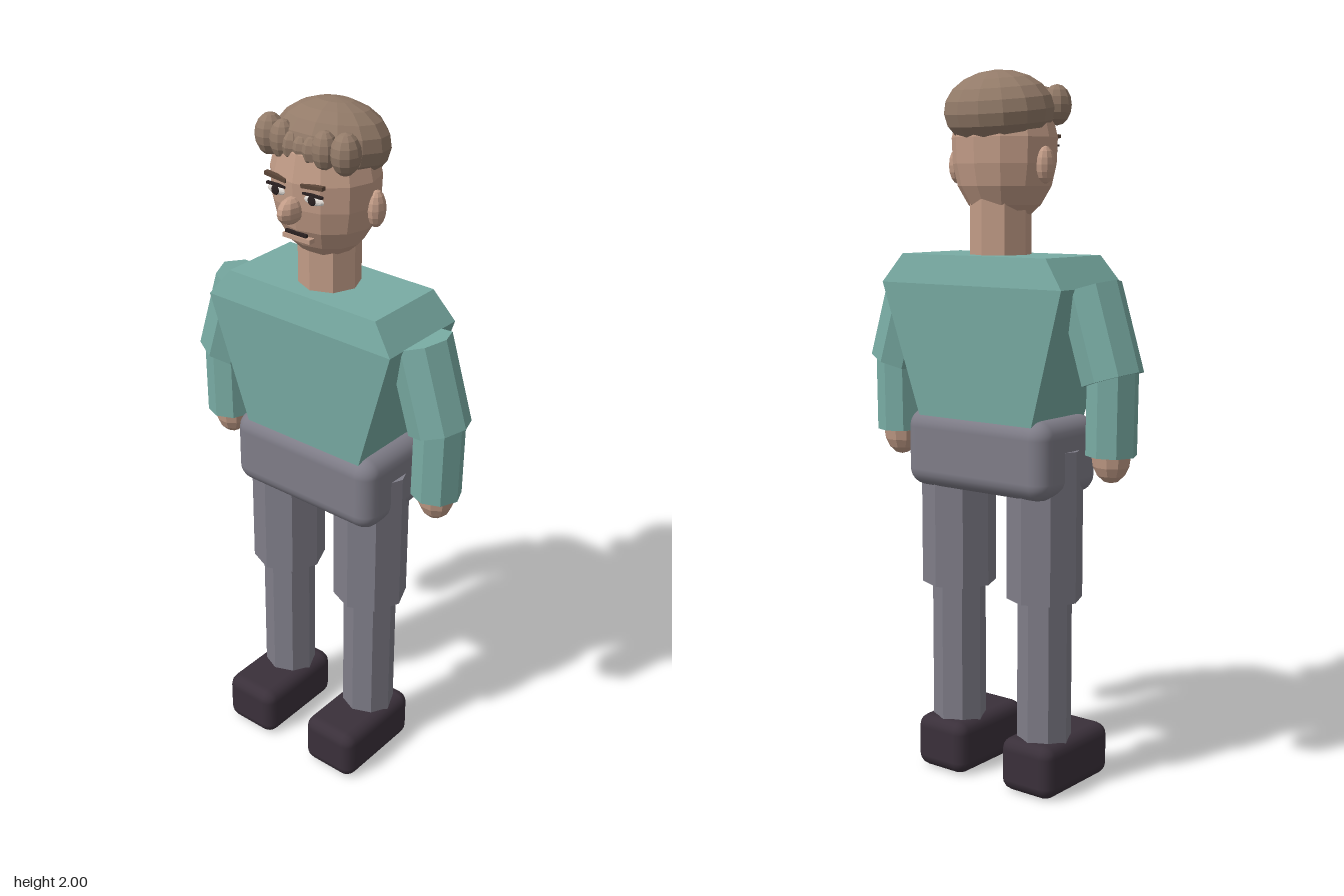
import * as THREE from 'three';
import { RoundedBoxGeometry } from 'three/addons/geometries/RoundedBoxGeometry.js';

const mat = (name, color, flatShading = true) => {
  const m = new THREE.MeshStandardMaterial({ color, flatShading });
  m.name = name;
  return m;
};

export function createModel() {
  const skin = mat('skin', 0xc29c87);
  const hair = mat('hair', 0x937b69);
  const sweater = mat('sweater', 0x79aca4);
  const trousers = mat('trousers', 0x7f7d88);
  const shoe = mat('shoe', 0x3a303a, false);
  const hips = trousers.clone();
  hips.flatShading = false;
  const white = mat('eye white', 0xe6e0da);
  const dark = mat('dark features', 0x2a2020);
  const brow = mat('eyebrow', 0x5c4638);

  const model = new THREE.Group();
  model.name = 'standingMan';
  const Z = -0.028; // body centre line

  const add = (name, geometry, material, x, y, z) => {
    const mesh = new THREE.Mesh(geometry, material);
    mesh.name = name;
    mesh.position.set(x, y, z);
    model.add(mesh);
    return mesh;
  };
  const ball = (name, material, [x, y, z], [rx, ry, rz], w = 10, h = 8) =>
    add(name, new THREE.SphereGeometry(1, w, h).scale(rx, ry, rz), material, x, y, z);

  // Eight-sided limb between two points in the body plane
  const limb = (name, material, [x0, y0], [x1, y1], r) => {
    const dir = new THREE.Vector3(x0 - x1, y0 - y1, 0);
    const mesh = add(name, new THREE.CylinderGeometry(r, r, dir.length(), 8), material,
      (x0 + x1) / 2, (y0 + y1) / 2, Z);
    mesh.quaternion.setFromUnitVectors(new THREE.Vector3(0, 1, 0), dir.normalize());
    return mesh;
  };

  // Torso: a box whose three levels are tapered
  const levels = { '-1': [0.19, 1.03, 0.09, -0.148], 0: [0.31, 1.425, 0.112, -0.172], 1: [0.248, 1.505, 0.095, -0.156] };
  const torso = new THREE.BoxGeometry(2, 2, 2, 1, 2, 1);
  const p = torso.attributes.position;
  for (let i = 0; i < p.count; i++) {
    const [hx, y, front, back] = levels[Math.round(p.getY(i))];
    p.setXYZ(i, p.getX(i) * hx, y, p.getZ(i) > 0 ? front : back);
  }
  torso.computeVertexNormals();
  add('torso', torso, sweater, 0, 0, 0);
  add('hips', new RoundedBoxGeometry(0.494, 0.22, 0.27, 3, 0.05), hips, 0, 0.96, Z);
  limb('neck', skin, [0, 1.72], [0, 1.49], 0.085);

  // Head: faceted profile, slightly narrower front to back
  const profile = [[0, 1.59], [0.055, 1.595], [0.105, 1.64], [0.135, 1.69], [0.149, 1.75],
    [0.152, 1.82], [0.135, 1.89], [0.08, 1.94], [0, 1.95]].map(([x, y]) => new THREE.Vector2(x, y));
  add('head', new THREE.LatheGeometry(profile, 12).scale(1, 1, 0.88), skin, 0, 0, -0.012);
  ball('nose', skin, [0, 1.75, 0.125], [0.026, 0.036, 0.05]);
  ball('hairCap', hair, [0, 1.892, -0.037], [0.16, 0.108, 0.138], 14, 10).rotation.x = -0.12;

  // Mouth
  add('mouth', new THREE.BoxGeometry(0.07, 0.008, 0.009), dark, 0, 1.682, 0.107);
  add('lowerLip', new THREE.BoxGeometry(0.09, 0.012, 0.02), skin, 0, 1.668, 0.099);
  ball('middleCurl', hair, [0, 1.9, 0.082], [0.026, 0.035, 0.026], 8, 6);

  for (const [side, s] of [['left', 1], ['right', -1]]) {
    // Legs and shoes
    limb(side + 'Thigh', trousers, [s * 0.154, 0.98], [s * 0.154, 0.557], 0.107);
    limb(side + 'Shin', trousers, [s * 0.155, 0.6], [s * 0.155, 0.14], 0.077);
    add(side + 'Shoe', new RoundedBoxGeometry(0.178, 0.155, 0.302, 2, 0.035), shoe, s * 0.155, 0.0775, 0.024);

    // Arms and hands
    limb(side + 'UpperArm', sweater, [s * 0.302, 1.424], [s * 0.376, 1.187], 0.086);
    limb(side + 'Forearm', sweater, [s * 0.376, 1.22], [s * 0.373, 0.984], 0.07);
    ball(side + 'Hand', skin, [s * 0.373, 0.982, Z], [0.054, 0.074, 0.05]);

    // Ears, eyes and eyebrows
    ball(side + 'Ear', skin, [s * 0.152, 1.746, Z], [0.023, 0.05, 0.029]);
    ball(side + 'Eye', white, [s * 0.06, 1.786, 0.109], [0.033, 0.013, 0.009]);
    ball(side + 'Pupil', dark, [s * 0.06, 1.787, 0.118], [0.013, 0.013, 0.004]);
    add(side + 'UpperLid', new THREE.BoxGeometry(0.062, 0.006, 0.009), dark, s * 0.06, 1.8, 0.113);
    add(side + 'Eyebrow', new THREE.BoxGeometry(0.07, 0.01, 0.014), brow, s * 0.06, 1.822, 0.113).rotation.z = s * 0.1;

    // Curls across the forehead
    ball(side + 'OuterCurl', hair, [s * 0.123, 1.907, 0.062], [0.039, 0.055, 0.042]);
    ball(side + 'FrontCurl', hair, [s * 0.068, 1.908, 0.077], [0.034, 0.052, 0.034]);
    ball(side + 'InnerCurl', hair, [s * 0.032, 1.9, 0.08], [0.026, 0.04, 0.03], 8, 6);
  }
  return model;
}
